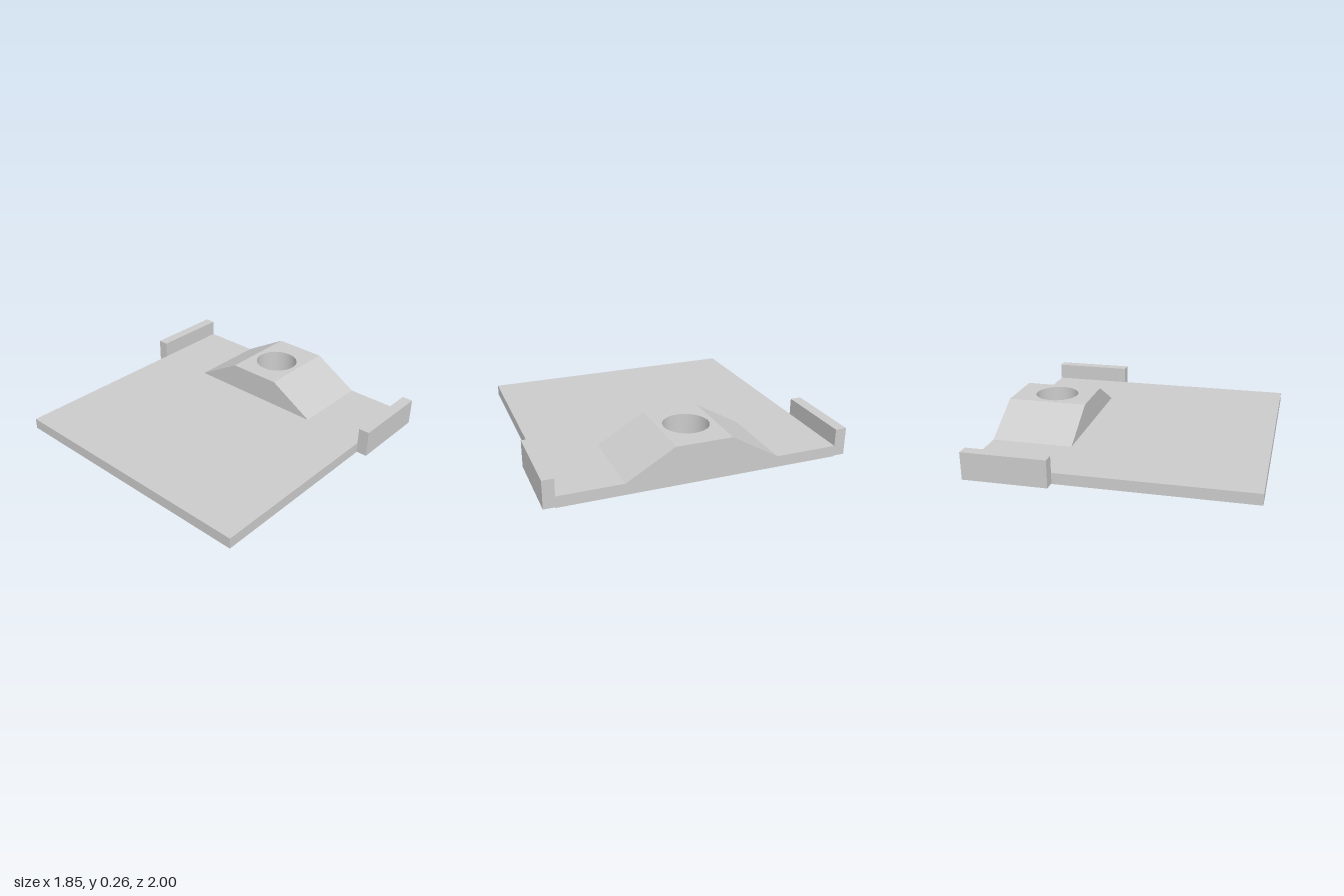
import * as THREE from 'three';

const material = new THREE.MeshStandardMaterial({ color: 0xcccccc, flatShading: true });
const smoothMaterial = new THREE.MeshStandardMaterial({ color: 0xcccccc });

const HALF = 0.925;      // half width of the plate
const STEP = 0.37;       // x where the raised section begins
const THICK = 0.075;     // plate thickness
const TOP = 0.26;        // height of the raised block
const BLOCK = 0.187;     // half depth of the raised block
const LIP = 0.01;        // thin wall closing the underside pockets

export function createModel() {
  const group = new THREE.Group();

  const add = (name, geometry, mat = material) => {
    const mesh = new THREE.Mesh(geometry, mat);
    mesh.name = name;
    group.add(mesh);
    return mesh;
  };

  const addBox = (name, [x0, x1], [y0, y1], [z0, z1]) =>
    add(name, new THREE.BoxGeometry(x1 - x0, y1 - y0, z1 - z0))
      .position.set((x0 + x1) / 2, (y0 + y1) / 2, (z0 + z1) / 2);

  // Extrude a (z, y) profile along x
  const addProfile = (name, points, x0, x1) => {
    const shape = new THREE.Shape(points.map(([z, y]) => new THREE.Vector2(-z, y)));
    const geometry = new THREE.ExtrudeGeometry(shape, { depth: x1 - x0, bevelEnabled: false });
    geometry.rotateY(Math.PI / 2);
    geometry.translate(x0, 0, 0);
    add(name, geometry);
  };

  // Flat base
  addBox('basePlate', [-HALF, STEP], [0, THICK], [-HALF, HALF]);

  // Raised block with a round hole straight through
  const block = new THREE.Shape();
  block.moveTo(STEP, -BLOCK);
  block.lineTo(HALF, -BLOCK);
  block.lineTo(HALF, BLOCK);
  block.lineTo(STEP, BLOCK);
  block.closePath();
  const hole = new THREE.Path();
  hole.absarc(0.635, 0, 0.15, 0, Math.PI * 2, true);
  block.holes.push(hole);
  const blockGeometry = new THREE.ExtrudeGeometry(block, { depth: TOP, bevelEnabled: false, curveSegments: 32 });
  blockGeometry.rotateX(-Math.PI / 2);
  add('raisedBlock', blockGeometry, smoothMaterial);

  for (const [side, s] of [['front', 1], ['back', -1]]) {
    // Ramp and flat edge, with a sloped pocket underneath
    const upper = [[s * HALF, 0], [s * HALF, THICK], [s * 0.505, THICK], [s * BLOCK, TOP]];
    addProfile(`${side}Ramp`, [[s * BLOCK, THICK], [s * 0.4, 0], ...upper], STEP, HALF - LIP);
    addProfile(`${side}RampEnd`, [[s * BLOCK, 0], ...upper], HALF - LIP, HALF);

    // Upright side tab
    const z = [s * HALF, s].sort((a, b) => a - b);
    addBox(`${side}Tab`, [0.365, HALF], [0.005, 0.19], z);
  }

  return group;
}
